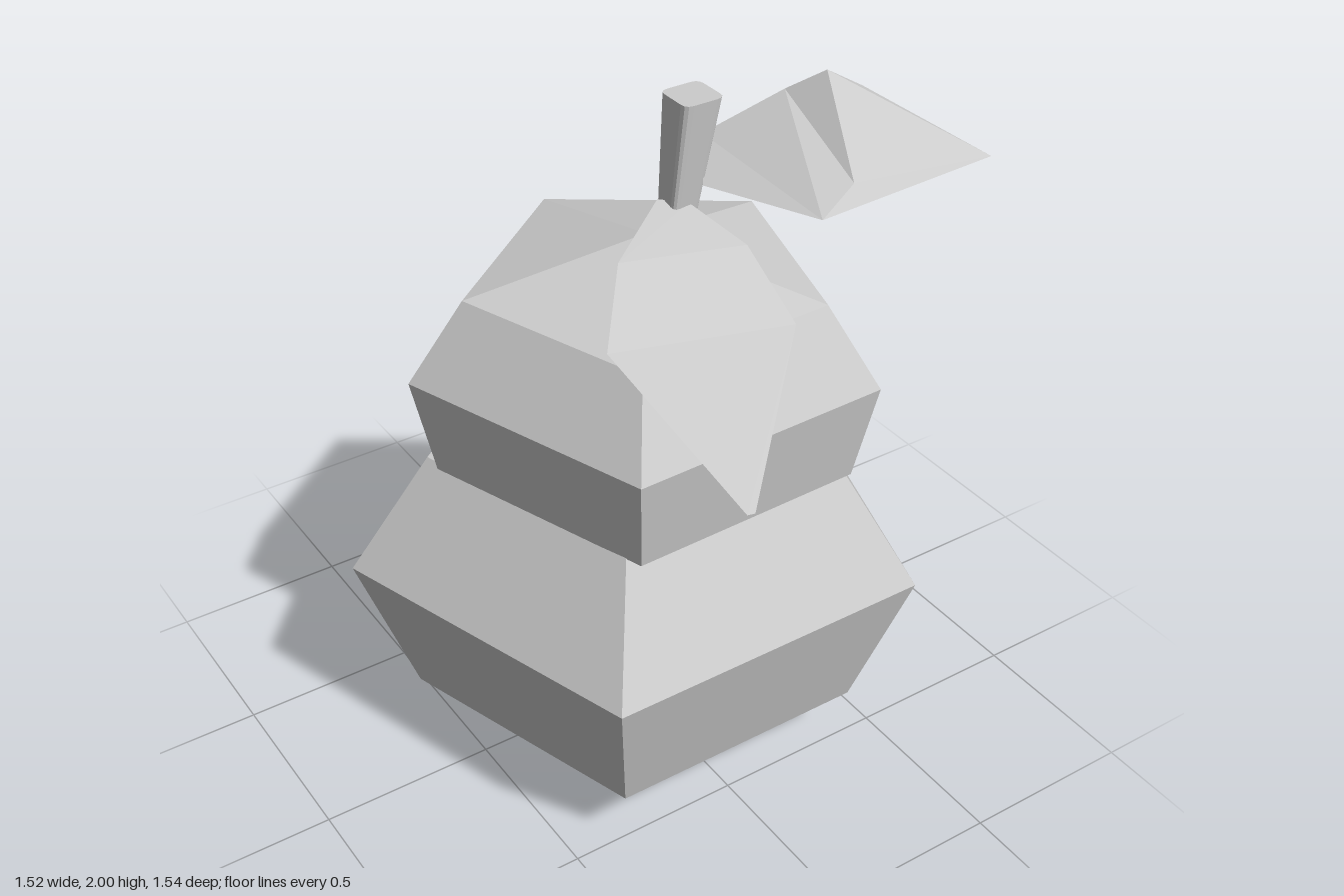
import * as THREE from 'three';

const skin = new THREE.MeshStandardMaterial({ color: 0xcccccc, flatShading: true, side: THREE.DoubleSide });
skin.name = 'pale grey';

function add(group, name, geometry) {
  const mesh = new THREE.Mesh(geometry, skin);
  mesh.name = name;
  group.add(mesh);
  return mesh;
}

// Five-sided lobe with one corner at the back; profile is [radius, height] from bottom to top
function lobe(profile) {
  return new THREE.LatheGeometry(profile.map(([r, y]) => new THREE.Vector2(r, y)), 5, Math.PI);
}

// Leaf blade from pairs of edge points (left, right), one pair per row
function blade(rows) {
  const positions = rows.flat(2);
  const index = [];
  for (let i = 0; i < rows.length - 1; i++) {
    const a = i * 2;
    index.push(a, a + 2, a + 1, a + 1, a + 2, a + 3);
  }
  const g = new THREE.BufferGeometry();
  g.setAttribute('position', new THREE.Float32BufferAttribute(positions, 3));
  g.setIndex(index);
  g.computeVertexNormals();
  return g;
}

// Tapered stem with a rounded square section, leaning from its foot to its top
function stemGeometry() {
  const shape = new THREE.Shape();
  const c = 0.6;
  shape.moveTo(-c, -1);
  shape.lineTo(c, -1);
  shape.quadraticCurveTo(1, -1, 1, -c);
  shape.lineTo(1, c);
  shape.quadraticCurveTo(1, 1, c, 1);
  shape.lineTo(-c, 1);
  shape.quadraticCurveTo(-1, 1, -1, c);
  shape.lineTo(-1, -c);
  shape.quadraticCurveTo(-1, -1, -c, -1);
  const g = new THREE.ExtrudeGeometry(shape, { depth: 1, bevelEnabled: false, curveSegments: 3 });
  g.rotateX(-Math.PI / 2);
  const p = g.attributes.position;
  for (let i = 0; i < p.count; i++) {
    const t = p.getY(i);
    const half = THREE.MathUtils.lerp(0.032, 0.057, t);
    p.setXYZ(i,
      p.getX(i) * half + THREE.MathUtils.lerp(0.043, 0.073, t),
      THREE.MathUtils.lerp(1.54, 1.98, t),
      p.getZ(i) * half + THREE.MathUtils.lerp(0.125, 0.158, t));
  }
  g.computeVertexNormals();
  return g;
}

export function createModel() {
  const model = new THREE.Group();
  model.name = 'fruit';

  // Body: a wide lower lobe and a smaller, slightly turned upper lobe
  const lower = add(model, 'lowerBody', lobe([[0, 0], [0.64, 0.2], [0.8, 0.64], [0.575, 0.97], [0, 0.975]]));
  lower.position.z = 0.03;
  const upper = add(model, 'upperBody', lobe([[0, 0.96], [0.57, 0.965], [0.63, 1.245], [0.48, 1.465], [0, 1.58]]));
  upper.position.z = 0.07;
  upper.rotation.y = 0.026;

  add(model, 'stem', stemGeometry());

  // Leaf drooping over the front
  add(model, 'frontLeaf', blade([
    [[0.0, 1.7, 0.12], [0.06, 1.695, 0.17]],
    [[-0.2, 1.645, 0.25], [0.105, 1.65, 0.355]],
    [[-0.335, 1.52, 0.41], [0.105, 1.53, 0.56]],
    [[-0.175, 1.205, 0.765], [-0.155, 1.205, 0.77]],
  ]));

  // Folded leaf rising to the side
  add(model, 'sideLeaf', blade([
    [[0.08, 1.75, 0.2], [0.16, 1.82, 0.08]],
    [[0.2, 1.765, 0.52], [0.335, 1.935, 0.18]],
    [[0.31, 1.82, 0.495], [0.4, 2.0, 0.26]],
    [[0.67, 1.825, 0.575], [0.485, 1.95, 0.295]],
  ]));
  // Lower lip closing the fold out to the tip
  add(model, 'sideLeafLip', blade([
    [[0.2, 1.765, 0.52], [0.31, 1.82, 0.495]],
    [[0.67, 1.825, 0.575], [0.67, 1.825, 0.575]],
  ]));
  return model;
}
